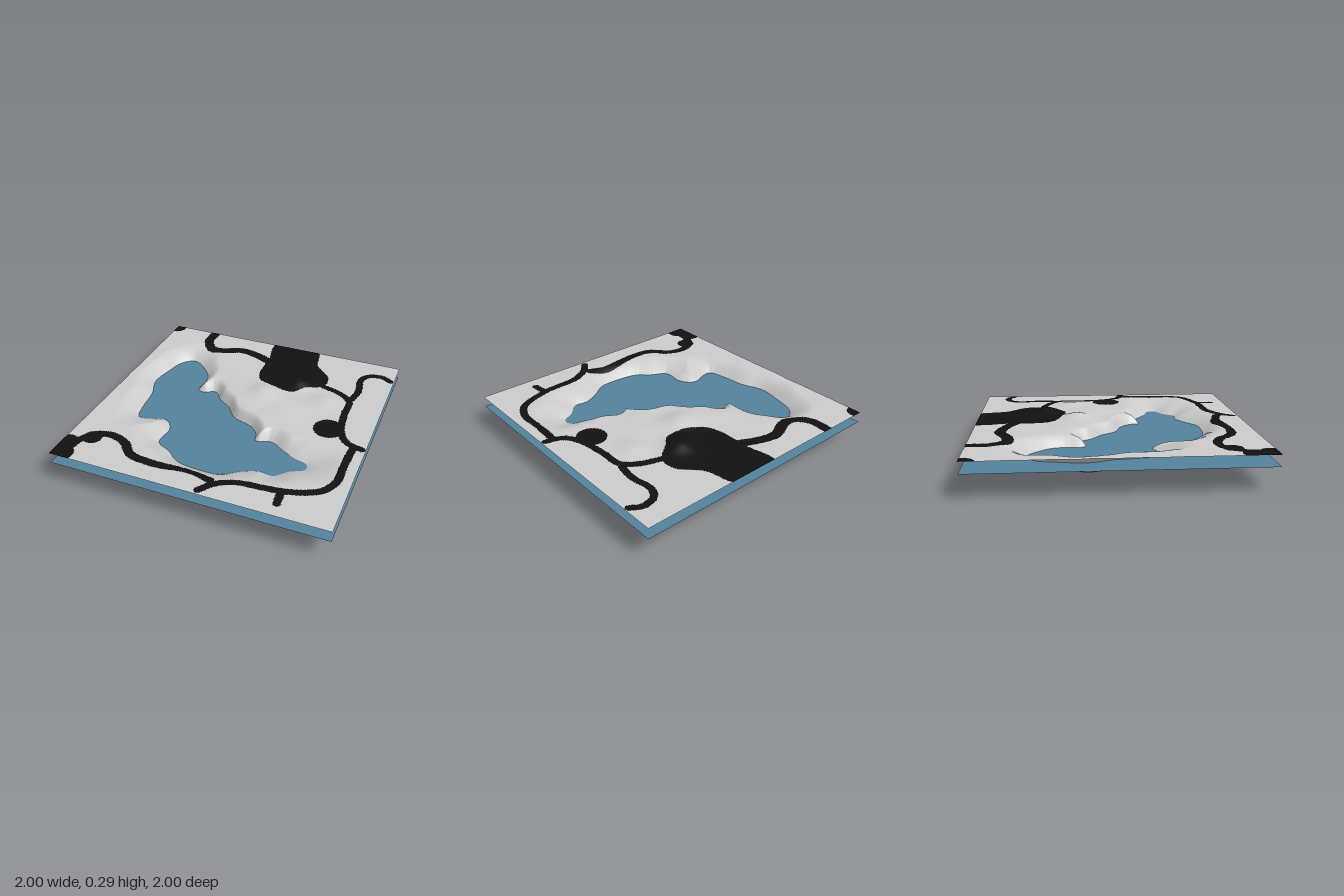
import * as THREE from 'three';

const WATER = 0.17, LAND = 0.25, N = 240;

// Smooth polyline [x, z] through flat pairs
function spline(flat, closed = false, count = 40) {
  const pts = [];
  for (let i = 0; i < flat.length; i += 2) pts.push(new THREE.Vector3(flat[i], 0, flat[i + 1]));
  return new THREE.CatmullRomCurve3(pts, closed, 'centripetal').getPoints(count).map(p => [p.x, p.z]);
}

// Distance from a point to a polyline, and whether the point lies inside it
function measure(line, x, z) {
  let best = Infinity, inside = false;
  for (let i = 1; i < line.length; i++) {
    const [ax, az] = line[i - 1], [bx, bz] = line[i];
    const dx = bx - ax, dz = bz - az;
    const t = Math.min(1, Math.max(0, ((x - ax) * dx + (z - az) * dz) / (dx * dx + dz * dz || 1)));
    best = Math.min(best, Math.hypot(x - ax - t * dx, z - az - t * dz));
    if ((az > z) !== (bz > z) && x < ax + (z - az) / dz * dx) inside = !inside;
  }
  return { distance: best, inside };
}

const shore = spline([
  -0.67, -0.61, -0.6, -0.59, -0.53, -0.53, -0.46, -0.44, -0.44, -0.35, -0.44, -0.22, -0.39, -0.2,
  -0.31, -0.24, -0.27, -0.22, -0.23, -0.16, -0.12, -0.08, -0.03, 0.03, 0.13, 0.09, 0.2, 0.17,
  0.22, 0.24, 0.33, 0.21, 0.45, 0.28, 0.55, 0.33, 0.64, 0.36, 0.65, 0.42, 0.55, 0.48, 0.47, 0.56,
  0.37, 0.55, 0.25, 0.6, 0.13, 0.68, 0, 0.69, -0.2, 0.66, -0.3, 0.58, -0.41, 0.52, -0.42, 0.45,
  -0.41, 0.36, -0.46, 0.27, -0.52, 0.25, -0.6, 0.28, -0.7, 0.29, -0.74, 0.15, -0.76, -0.03,
  -0.82, -0.2, -0.79, -0.4, -0.75, -0.54], true, 140);

// Lake depth and bank width at sample places: x, z, value
const depths = [[-0.1, 0.4, 0.175], [-0.2, 0.2, 0.16], [-0.6, -0.1, 0.125], [-0.62, -0.4, 0.1],
  [-0.55, 0.15, 0.12], [0.2, 0.42, 0.11], [0.36, 0.4, 0.14], [0.55, 0.4, 0.06]];
const banks = [[-0.9, -0.2, 0.14], [-0.85, 0.2, 0.15], [-0.65, -0.75, 0.17], [-0.4, -0.35, 0.1],
  [-0.2, -0.2, 0.06], [0, -0.03, 0.05], [0.2, 0.08, 0.06], [0.4, 0.18, 0.1], [0.6, 0.25, 0.2],
  [0.8, 0.4, 0.3], [0.5, 0.68, 0.22], [0, 0.8, 0.17], [-0.4, 0.65, 0.18], [-0.6, 0.42, 0.24]];

// Hills: x, z, height, radius
const hills = [[0.1, -0.25, 0.042, 0.12], [0.31, -0.48, 0.045, 0.1], [0.57, -0.3, 0.022, 0.11],
  [0.35, -0.15, 0.012, 0.13], [-0.12, -0.3, 0.008, 0.12]];

function blend(samples, x, z) {
  let sum = 0, total = 0;
  for (const [sx, sz, value] of samples) {
    const w = 1 / (((x - sx) ** 2 + (z - sz) ** 2) ** 1.5 + 0.0005);
    sum += w * value;
    total += w;
  }
  return sum / total;
}

const ease = t => Math.sin(Math.min(1, t) * Math.PI / 2);

function height(x, z) {
  const { distance, inside } = measure(shore, x, z);
  if (inside) return Math.max(0, WATER - blend(depths, x, z) * ease(distance / 0.19));
  const rise = ease(distance / blend(banks, x, z));
  let y = WATER + (LAND - WATER) * rise;
  for (const [hx, hz, h, r] of hills) {
    y += rise * h * Math.exp(-((x - hx) ** 2 + (z - hz) ** 2) / (r * r));
  }
  // gentle ripples of the ground near the lake
  const ripple = Math.sin(13 * x + 5 * z) * Math.sin(17 * z - 6 * x + 1);
  return y + 0.005 * ripple * ease(distance / 0.1) * Math.exp(-((distance / 0.25) ** 2));
}

// Dark roads: half width and path
const roads = [
  [0.04, [-0.63, -1, -0.63, -0.85, -0.55, -0.74, -0.45, -0.74, -0.3, -0.8, -0.15, -0.77, -0.02, -0.71]],
  [0.027, [0.48, -0.52, 0.65, -0.46, 0.74, -0.38, 0.75, -0.2, 0.78, 0, 0.85, 0.12, 0.97, 0.16]],
  [0.026, [0.97, -0.78, 0.9, -0.82, 0.8, -0.8, 0.75, -0.72, 0.77, -0.55, 0.75, -0.42]],
  [0.028, [0.91, 0.17, 0.9, 0.4, 0.9, 0.55, 0.83, 0.68, 0.6, 0.77, 0.3, 0.8, 0.17, 0.87, 0.1, 0.96]],
  [0.033, [0.13, 0.84, 0, 0.8, -0.3, 0.83, -0.48, 0.8, -0.58, 0.7, -0.7, 0.66, -0.82, 0.69, -0.9, 0.82, -0.92, 1]],
  [0.027, [0.6, 0.78, 0.61, 0.89]],
].map(([width, path]) => ({ width, line: spline(path) }));

// Dark patches: a grove outline and round spots (x, z, radius)
const grove = spline([-0.06, -1.02, 0.3, -1.02, 0.37, -0.8, 0.5, -0.65, 0.5, -0.52, 0.38, -0.42,
  0.3, -0.34, 0.15, -0.35, 0, -0.43, -0.04, -0.55, -0.04, -0.75], true, 80);
const spots = [[0.69, 0.01, 0.11], [-1, -0.98, 0.08], [-0.96, 0.85, 0.09], [-0.93, 0.96, 0.09], [-0.82, 0.73, 0.07]];

function isDark(x, z) {
  return spots.some(([sx, sz, r]) => Math.hypot(x - sx, z - sz) < r)
    || measure(grove, x, z).inside
    || roads.some(({ width, line }) => measure(line, x, z).distance < width);
}

export function createModel() {
  const model = new THREE.Group();

  // Height field, one vertex per grid point
  const sheet = new THREE.PlaneGeometry(2, 2, N, N).rotateX(-Math.PI / 2);
  const pos = sheet.attributes.position;
  for (let i = 0; i < pos.count; i++) pos.setY(i, height(pos.getX(i), pos.getZ(i)));
  sheet.computeVertexNormals();

  // Sort the triangles into bare ground and dark painted ground
  const ground = [], dark = [];
  const index = sheet.index;
  for (let i = 0; i < index.count; i += 3) {
    const tri = [index.getX(i), index.getX(i + 1), index.getX(i + 2)];
    const mid = axis => tri.reduce((s, v) => s + pos.getComponent(v, axis), 0) / 3;
    (isDark(mid(0), mid(2)) ? dark : ground).push(...tri);
  }

  const add = (name, geometry, color) => {
    const mesh = new THREE.Mesh(geometry, new THREE.MeshStandardMaterial({ color, side: THREE.DoubleSide }));
    mesh.name = name;
    model.add(mesh);
    return mesh;
  };
  const part = triangles => {
    const geometry = new THREE.BufferGeometry();
    geometry.setAttribute('position', pos);
    geometry.setAttribute('normal', sheet.attributes.normal);
    geometry.setIndex(triangles);
    return geometry;
  };
  add('terrain', part(ground), 0xcccccc);
  add('roadsAndGroves', part(dark), 0x111111);

  // Flat water sheet under the land, showing through in the lake
  add('water', new THREE.PlaneGeometry(2, 2).rotateX(-Math.PI / 2), 0x53829c).position.y = WATER;

  return model;
}
